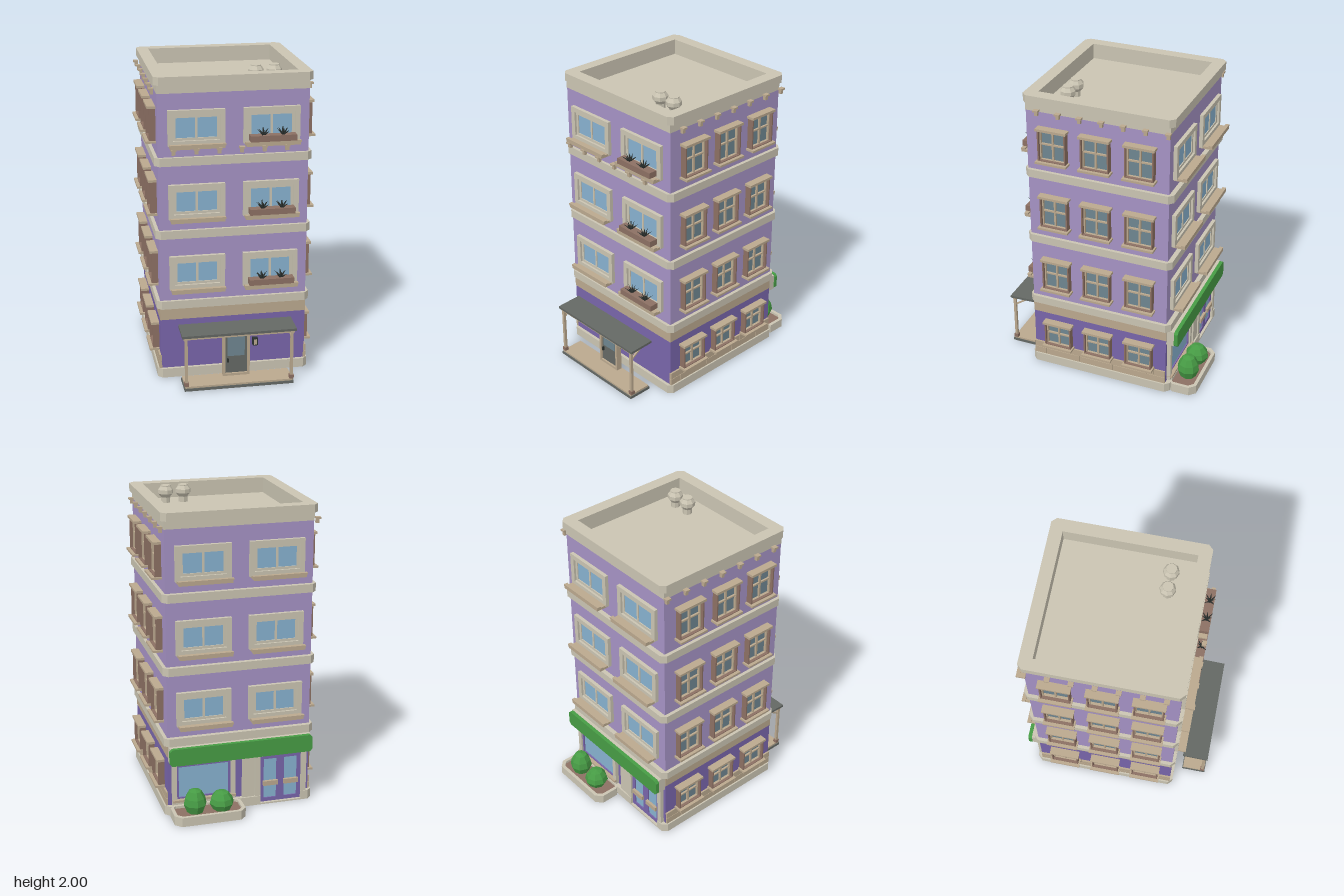
import * as THREE from 'three';

const mat = (name, color) => new THREE.MeshStandardMaterial({ name, color });
const M = {
  stone: mat('stone', 0xcac4b2), lavender: mat('lavender wall', 0xa592c4),
  purple: mat('deep purple wall', 0x7865aa), tan: mat('tan trim', 0xbaa88e),
  brown: mat('brown wood', 0x8c7063), sky: mat('sky glass', 0x87b1cf),
  dusk: mat('dusky glass', 0x6e8590), green: mat('foliage green', 0x479c45),
  slate: mat('slate', 0x646864), leaf: mat('dark leaf', 0x2c3230),
};
M.green.flatShading = true;

const WALL = { x: 0.475, front: 0.45, back: -0.495 };

function add(parent, name, geometry, material) {
  const m = new THREE.Mesh(geometry, material);
  m.name = name;
  parent.add(m);
  return m;
}
// Box given by its two extents on each axis
function box(parent, name, material, x0, x1, y0, y1, z0, z1) {
  const m = add(parent, name, new THREE.BoxGeometry(x1 - x0, y1 - y0, z1 - z0), material);
  m.position.set((x0 + x1) / 2, (y0 + y1) / 2, (z0 + z1) / 2);
  return m;
}
function group(parent, name, x = 0, y = 0, z = 0, ry = 0) {
  const g = new THREE.Group();
  g.name = name;
  g.position.set(x, y, z);
  g.rotation.y = ry;
  parent.add(g);
  return g;
}
// Rectangle outline with cut corners
function outline(x0, x1, y0, y1, c = 0) {
  const p = [[x0 + c, y0], [x1 - c, y0], [x1, y0 + c], [x1, y1 - c], [x1 - c, y1], [x0 + c, y1], [x0, y1 - c], [x0, y0 + c]];
  return p.map(([x, y]) => new THREE.Vector2(x, y));
}
// Horizontal slab from an outline in x and -z, with optional hole
function slab(parent, name, material, pts, y0, y1, hole) {
  const s = new THREE.Shape(pts);
  if (hole) s.holes.push(new THREE.Path(hole));
  const geo = new THREE.ExtrudeGeometry(s, { depth: y1 - y0, bevelEnabled: false });
  geo.rotateX(-Math.PI / 2).translate(0, y0, 0);
  return add(parent, name, geo, material);
}
// Upright rectangular frame of border b, standing out along z
function frame(parent, name, material, x0, x1, y0, y1, b, z0, z1) {
  const s = new THREE.Shape(outline(x0, x1, y0, y1));
  s.holes.push(new THREE.Path(outline(x0 + b, x1 - b, y0 + b, y1 - b)));
  const geo = new THREE.ExtrudeGeometry(s, { depth: z1 - z0, bevelEnabled: false });
  return add(parent, name, geo.translate(0, 0, z0), material);
}

// Spiky pot plant
function plant(parent, x, y, z) {
  const g = group(parent, 'spikyPlant', x, y, z);
  for (let i = 0; i < 9; i++) {
    const geo = new THREE.ConeGeometry(0.008, 0.058, 4).translate(0, 0.029, 0);
    geo.rotateZ(i === 8 ? 0 : i % 2 ? 0.95 : 0.6).rotateY(i * Math.PI / 4);
    add(g, 'leaf', geo, M.leaf);
  }
}

// Wide two-pane window: framed, with sill and optional flower box
function wideWindow(parent, x, y, z, ry, sillDepth, flowers) {
  const g = group(parent, 'wideWindow', x, y, z, ry);
  frame(g, 'outerFrame', M.stone, -0.178, 0.178, 0, 0.225, 0.032, 0, 0.024);
  frame(g, 'innerFrame', M.stone, -0.146, 0.146, 0.03, 0.193, 0.018, 0, 0.01);
  box(g, 'mullion', M.stone, -0.007, 0.007, 0.04, 0.18, 0, 0.01);
  box(g, 'glass', M.sky, -0.13, 0.13, 0.045, 0.177, 0, 0.004);
  box(g, 'sill', M.tan, -0.17, 0.17, -0.008, 0.008, 0, sillDepth);
  box(g, 'sillLip', M.tan, -0.175, 0.175, 0.008, 0.02, sillDepth - 0.025, sillDepth);
  if (!flowers) return;
  box(g, 'flowerBox', M.brown, -0.145, 0.145, 0.02, 0.058, 0.024, 0.083);
  for (const s of [-1, 1]) plant(g, s * 0.062, 0.056, 0.055);
}

// Narrow four-pane window for the side walls
function sideWindow(parent, x, y, z, ry, h) {
  const g = group(parent, 'sideWindow', x, y, z, ry);
  frame(g, 'casing', M.brown, -0.094, 0.094, 0.01, h - 0.008, 0.009, 0, 0.042);
  frame(g, 'sash', M.tan, -0.085, 0.085, 0.012, h - 0.016, 0.008, 0, 0.022);
  box(g, 'glass', M.dusk, -0.08, 0.08, 0.014, h - 0.018, 0, 0.005);
  box(g, 'mullion', M.tan, -0.006, 0.006, 0.015, h - 0.02, 0, 0.018);
  box(g, 'crossBar', M.tan, -0.08, 0.08, h * 0.52 - 0.005, h * 0.52 + 0.005, 0, 0.018);
  box(g, 'lintel', M.tan, -0.103, 0.103, h - 0.016, h, 0, 0.053);
  box(g, 'sill', M.tan, -0.105, 0.105, 0, 0.014, 0, 0.064);
}

// Small stepped bracket hanging from y, outward along z
function bracket(parent, x, y, z, ry) {
  const g = group(parent, 'bracket', x, y, z, ry);
  box(g, 'bracketCap', M.tan, -0.017, 0.017, -0.012, 0, 0, 0.03);
  box(g, 'bracketFoot', M.tan, -0.011, 0.011, -0.038, -0.012, 0, 0.02);
}

function porch(parent) {
  const g = group(parent, 'porch');
  box(g, 'porchBase', M.slate, -0.357, 0.352, 0, 0.018, 0.525, 0.69);
  box(g, 'porchDeck', M.tan, -0.352, 0.347, 0.018, 0.03, 0.53, 0.685);
  const roof = box(g, 'canopy', M.slate, -0.37, 0.367, 0.37, 0.386, 0.515, 0.69);
  roof.rotation.x = 0.04;
  box(g, 'canopyBeam', M.tan, -0.36, 0.357, 0.352, 0.37, 0.66, 0.68);
  for (const x of [-0.343, 0.34]) {
    box(g, 'post', M.tan, x - 0.009, x + 0.009, 0.03, 0.36, 0.661, 0.679);
    box(g, 'postFoot', M.brown, x - 0.014, x + 0.014, 0.03, 0.055, 0.656, 0.684);
    box(g, 'rafter', M.tan, x - 0.008, x + 0.008, 0.358, 0.37, 0.525, 0.67);
    const strut = box(g, 'strut', M.tan, x - 0.006, x + 0.006, 0.327, 0.337, 0.575, 0.675);
    strut.rotation.x = 0.6;
  }
  frame(g, 'doorFrame', M.tan, -0.09, 0.086, 0.03, 0.352, 0.016, 0.535, 0.575);
  box(g, 'door', M.slate, -0.075, 0.071, 0.03, 0.338, 0.54, 0.562);
  box(g, 'doorGlass', M.dusk, -0.058, 0.054, 0.165, 0.325, 0.562, 0.566);
  box(g, 'doorHandle', M.leaf, -0.063, -0.053, 0.125, 0.15, 0.562, 0.578);
  box(g, 'wallBox', M.leaf, 0.108, 0.14, 0.228, 0.278, 0.54, 0.568);
  box(g, 'wallBoxPanel', M.tan, 0.114, 0.134, 0.235, 0.271, 0.568, 0.573);
}

// Rear shop front, laid out facing local +z
function shopFront(parent) {
  const g = group(parent, 'shopFront', 0, 0, WALL.back, Math.PI);
  frame(g, 'shopWindowFrame', M.stone, -0.45, -0.03, 0.07, 0.37, 0.03, 0, 0.026);
  frame(g, 'shopWindowTrim', M.purple, -0.42, -0.06, 0.1, 0.34, 0.014, 0, 0.014);
  box(g, 'shopGlass', M.sky, -0.41, -0.07, 0.11, 0.33, 0, 0.005);
  box(g, 'shopSill', M.tan, -0.45, -0.03, 0.09, 0.105, 0, 0.04);
  box(g, 'column', M.stone, 0.02, 0.1, 0.06, 0.37, 0, 0.02);
  for (const x of [0.105, 0.42]) box(g, 'doorJamb', M.stone, x, x + 0.035, 0.01, 0.37, -0.005, 0.026);
  box(g, 'doorHead', M.stone, 0.14, 0.42, 0.34, 0.37, 0, 0.026);
  for (const s of [-1, 1]) {
    const d = group(g, 'shopDoor', 0.28 + s * 0.07, 0.01, 0);
    frame(d, 'doorLeaf', M.purple, -0.07, 0.07, 0, 0.33, 0.026, -0.005, 0.012);
    box(d, 'doorPane', M.sky, -0.046, 0.046, 0.024, 0.306, -0.005, 0.004);
    box(d, 'pushPlate', M.tan, -0.05, 0.05, 0.12, 0.152, 0.012, 0.03);
  }
  // Awning box with a green fascia
  box(g, 'awningBox', M.stone, -0.47, 0.47, 0.37, 0.478, 0, 0.053);
  const fascia = new THREE.ExtrudeGeometry(new THREE.Shape(outline(-0.475, 0.475, 0.365, 0.48, 0.016)),
    { depth: 0.025, bevelEnabled: false });
  add(g, 'awningFascia', fascia.translate(0, 0, 0.053), M.green);
}

function planter(parent) {
  const g = group(parent, 'planter');
  slab(g, 'planterRim', M.stone, outline(0, 0.47, 0.5, 0.697, 0.04), 0, 0.062, outline(0.022, 0.448, 0.51, 0.675, 0.03));
  slab(g, 'soil', M.brown, outline(0.015, 0.455, 0.505, 0.68, 0.03), 0.002, 0.045);
  // Egg-shaped bushes: x, radius, height
  for (const [x, r, h] of [[0.146, 0.08, 0.13], [0.322, 0.075, 0.165]]) {
    const prof = [[0, 0], [0.72, 0.05], [1, 0.38], [0.88, 0.65], [0.55, 0.92], [0, 1]];
    const geo = new THREE.LatheGeometry(prof.map(([a, b]) => new THREE.Vector2(a * r, b * h)), 8);
    add(g, 'bush', geo, M.green).position.set(x, 0.045, -0.602);
  }
}

export function createModel() {
  const root = new THREE.Group();
  root.name = 'apartmentBuilding';
  const { x: W, front: F, back: B } = WALL;

  // Base with a notch at the shop doors
  const base = outline(-0.497, 0.497, -0.47, 0.525, 0.03);
  base.splice(5, 0, ...[[-0.14, 0.525], [-0.14, 0.49], [-0.42, 0.49], [-0.42, 0.525]].map(([x, y]) => new THREE.Vector2(x, y)));
  slab(root, 'base', M.stone, base, 0, 0.062);
  box(root, 'doorStep', M.stone, -0.42, -0.14, 0, 0.01, -0.525, -0.48);

  // Walls
  box(root, 'groundWall', M.purple, -W, W, 0.06, 0.4, B, F);
  box(root, 'friezeWall', M.tan, -W - 0.002, W + 0.002, 0.4, 0.485, B, F + 0.002);
  box(root, 'upperWall', M.lavender, -W, W, 0.485, 1.885, B, F);
  for (const y of [0.48, 0.955, 1.43])
    slab(root, 'floorBand', M.stone, outline(-0.497, 0.497, -0.47, 0.525, 0.03), y, y + 0.054);

  // Roof and parapet
  const well = outline(-0.42, 0.415, -0.388, 0.443);
  box(root, 'roofFloor', M.stone, -0.45, 0.45, 1.88, 1.888, B + 0.02, F - 0.02);
  slab(root, 'parapetWall', M.stone, outline(-W - 0.002, W + 0.002, -F - 0.002, -B + 0.002), 1.884, 1.94, well);
  slab(root, 'parapetCap', M.stone, outline(-0.497, 0.497, -0.47, 0.525, 0.03), 1.938, 1.99, well);
  const pot = [[0, 0], [0.03, 0], [0.03, 0.035], [0.05, 0.06], [0.05, 0.085], [0.034, 0.108], [0.034, 0.114], [0, 0.114]];
  for (const x of [0.175, 0.293]) {
    const geo = new THREE.LatheGeometry(pot.map(p => new THREE.Vector2(...p)), 8).toNonIndexed();
    geo.computeVertexNormals();
    add(root, 'roofVent', geo, M.stone).position.set(x, 1.888, 0.247);
  }

  // Front and back windows
  for (const y of [0.61, 1.083, 1.557]) for (const s of [-1, 1]) {
    wideWindow(root, s * 0.236, y, F, 0, 0.078, s > 0);
    wideWindow(root, s * 0.236, y, B, Math.PI, 0.088, false);
  }
  for (let i = 0; i < 6; i++) bracket(root, -0.387 + i * 0.142, 1.553, 0.504, 0);

  // Side walls: windows, brackets and stone courses
  for (const s of [-1, 1]) {
    const ry = s * Math.PI / 2;
    for (const z of [0.267, -0.02, -0.312]) {
      for (const y of [0.61, 1.083, 1.555]) sideWindow(root, s * W, y, z, ry, 0.235);
      sideWindow(root, s * W, 0.155, z, ry, 0.195);
    }
    for (let i = 0; i < 7; i++) bracket(root, s * 0.487, 1.905, 0.367 - i * 0.143, ry);
    for (const [row, cuts] of [[0, [0.452, 0.365, 0.122, -0.122, -0.365, -0.497]], [1, [0.452, 0.29, 0.045, -0.2, -0.42, -0.497]]])
      for (let i = 0; i < 5; i++) {
        const y = 0.062 + row * 0.048;
        const a = s * (W - 0.005), b = s * (W + 0.012);
        box(root, 'stoneBlock', M.tan, Math.min(a, b), Math.max(a, b), y, y + 0.045, cuts[i + 1] + 0.003, cuts[i]);
      }
  }

  porch(root);
  shopFront(root);
  planter(root);
  return root;
}
